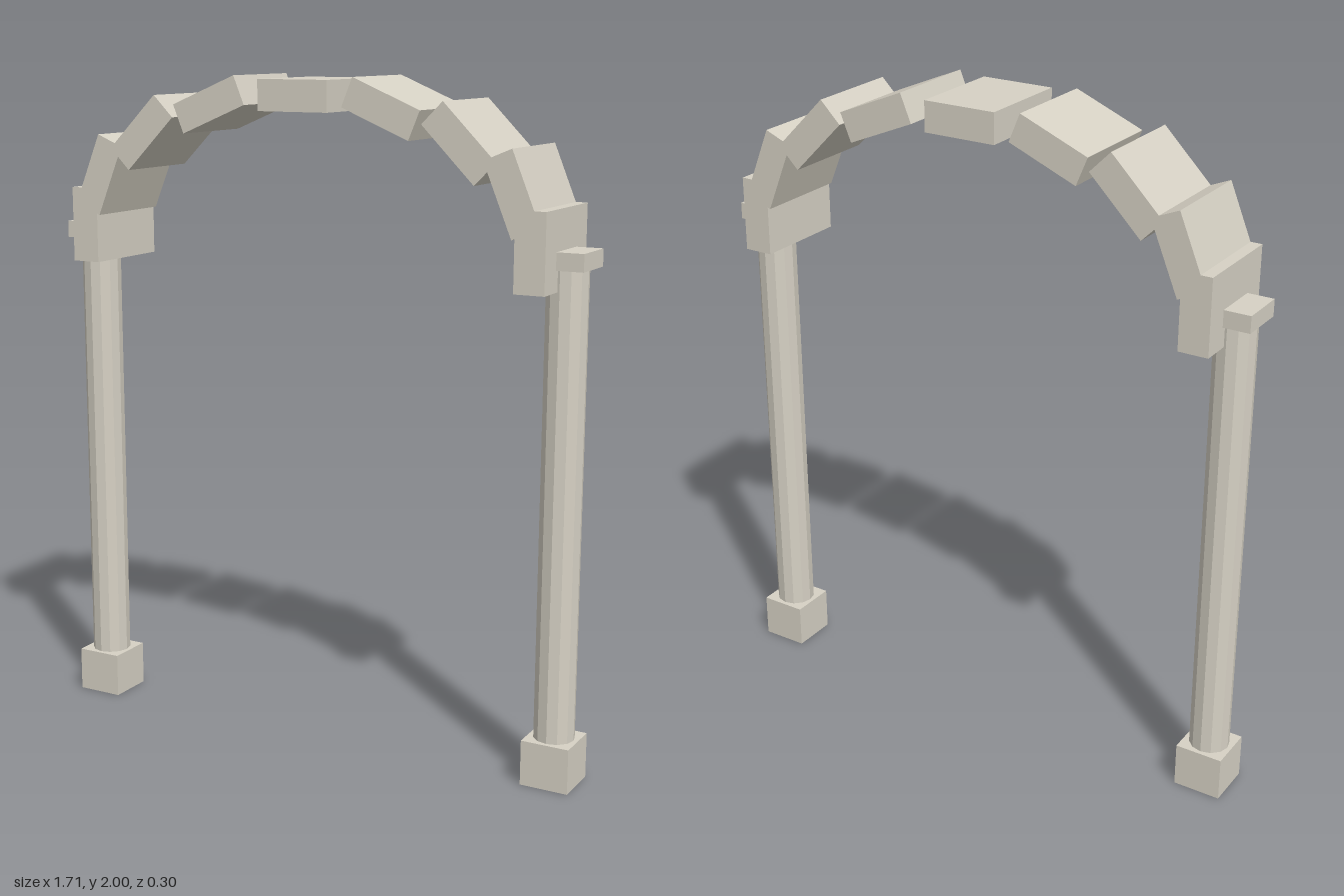
import * as THREE from 'three';

const stone = new THREE.MeshStandardMaterial({ color: 0xd6d1c4, flatShading: true });
stone.name = 'pale stone';

function part(name, geometry, parent, x, y) {
  const mesh = new THREE.Mesh(geometry, stone);
  mesh.name = name;
  mesh.position.set(x, y, 0);
  parent.add(mesh);
  return mesh;
}

export function createModel() {
  const model = new THREE.Group();
  model.name = 'archway';

  // Two pillars: square base, faceted shaft, thin cap
  for (const [side, name] of [[1, 'leftPillar'], [-1, 'rightPillar']]) {
    const pillar = new THREE.Group();
    pillar.name = name;
    pillar.position.x = side * 0.782;
    part('base', new THREE.BoxGeometry(0.145, 0.135, 0.145), pillar, 0, 0.0675);
    part('shaft', new THREE.CylinderGeometry(0.06, 0.06, 1.36, 12), pillar, 0, 0.815);
    part('cap', new THREE.BoxGeometry(0.145, 0.05, 0.145), pillar, 0, 1.52);
    model.add(pillar);
  }

  // Nine arch stones along a half ellipse, each turned by its angle
  const arch = new THREE.Group();
  arch.name = 'arch';
  const block = new THREE.BoxGeometry(0.09, 0.225, 0.3);
  for (let i = 0; i <= 8; i++) {
    const a = (i * Math.PI) / 8;
    const b = part(`archStone${i + 1}`, block, arch, 0.73 * Math.cos(a), 1.547 + 0.4 * Math.sin(a));
    b.rotation.z = a;
  }
  model.add(arch);

  return model;
}
